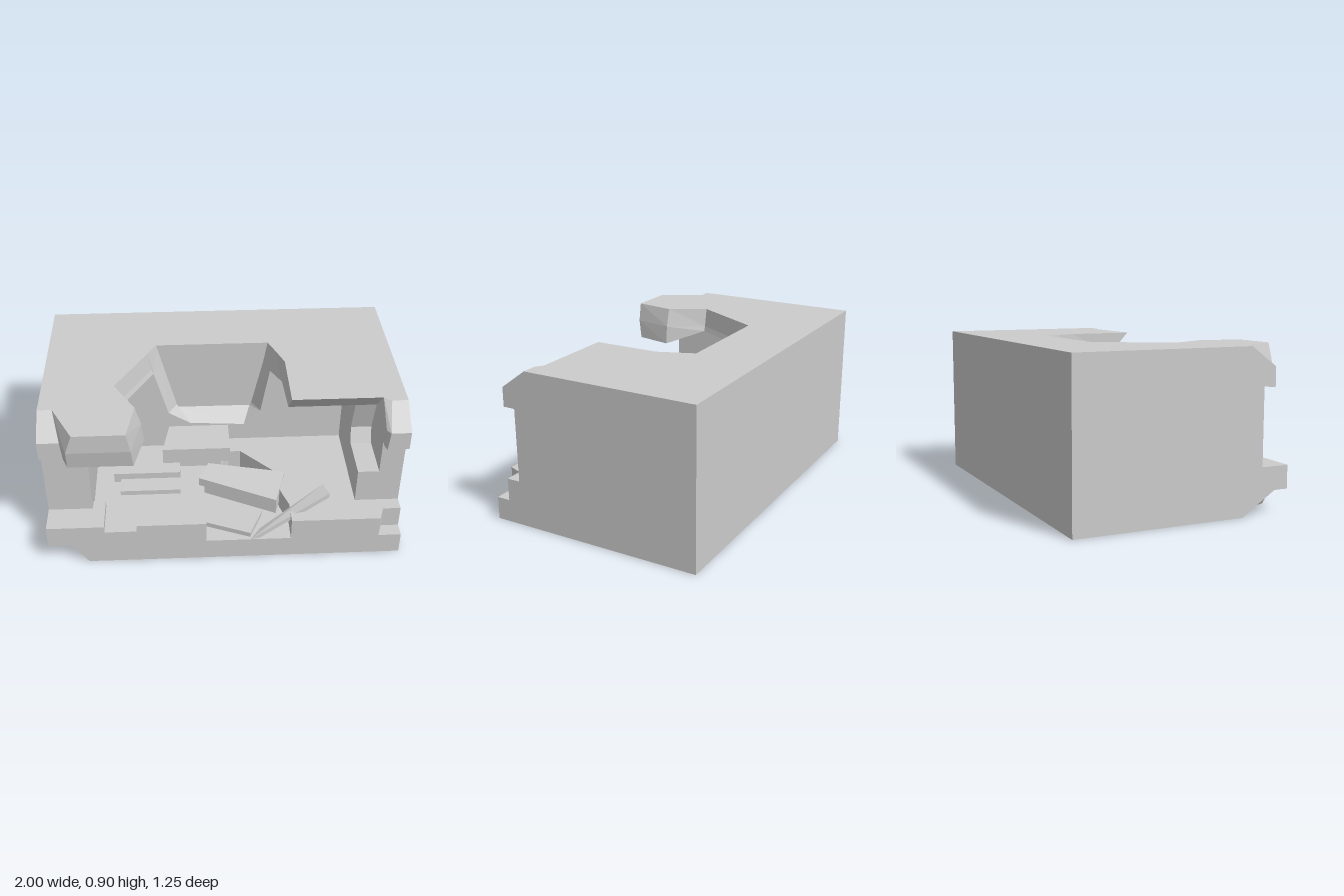
import * as THREE from 'three';

const material = new THREE.MeshStandardMaterial({ color: 0xcccccc, flatShading: true });

// Solid through matching rings of [x, y, z]; the first ring faces +y (or +z when alongZ)
function loft(name, rings, alongZ = false) {
  const flat = (r) => r.map((p) => new THREE.Vector2(p[0], alongZ ? p[1] : -p[2]));
  if (THREE.ShapeUtils.area(flat(rings[0])) < 0) rings = rings.map((r) => [...r].reverse());
  const pos = [];
  const tri = (a, b, c) => pos.push(...a, ...b, ...c);
  const first = rings[0], last = rings[rings.length - 1], n = first.length;
  for (const [a, b, c] of THREE.ShapeUtils.triangulateShape(flat(first), [])) tri(first[a], first[b], first[c]);
  for (const [a, b, c] of THREE.ShapeUtils.triangulateShape(flat(last), [])) tri(last[a], last[c], last[b]);
  for (let k = 0; k < rings.length - 1; k++) {
    const t = rings[k], u = rings[k + 1];
    for (let i = 0; i < n; i++) {
      const j = (i + 1) % n;
      tri(t[i], u[i], u[j]);
      tri(t[i], u[j], t[j]);
    }
  }
  const g = new THREE.BufferGeometry();
  g.setAttribute('position', new THREE.Float32BufferAttribute(pos, 3));
  g.computeVertexNormals();
  const m = new THREE.Mesh(g, material);
  m.name = name;
  return m;
}

const level = (y, pts) => pts.map(([x, z]) => [x, y, z]);
const upright = (z, pts) => pts.map(([x, y]) => [x, y, z]);
const slab = (name, pts, y0, y1) => loft(name, [level(y1, pts), level(y0, pts)]);

function box(name, x0, x1, y0, y1, z0, z1) {
  const m = new THREE.Mesh(new THREE.BoxGeometry(x1 - x0, y1 - y0, z1 - z0), material);
  m.position.set((x0 + x1) / 2, (y0 + y1) / 2, (z0 + z1) / 2);
  m.name = name;
  return m;
}

// Wall between x0 and x1 from a [z, y] side profile
function wall(name, x0, x1, profile) {
  const shape = new THREE.Shape(profile.map(([z, y]) => new THREE.Vector2(-z, y)));
  const g = new THREE.ExtrudeGeometry(shape, { depth: x1 - x0, bevelEnabled: false });
  g.rotateY(Math.PI / 2).translate(x0, 0, 0);
  const m = new THREE.Mesh(g, material);
  m.name = name;
  return m;
}

export function createModel() {
  const model = new THREE.Group();
  model.name = 'brokenBlock';
  const add = (...parts) => model.add(...parts);

  // Base with an undercut front corner
  add(loft('base', [
    level(0.13, [[-1, -0.63], [-1, 0.54], [-0.92, 0.54], [-0.87, 0.62], [1, 0.62], [1, -0.63]]),
    level(0, [[-1, -0.63], [-1, 0.34], [-0.91, 0.34], [-0.78, 0.62], [1, 0.62], [1, -0.63]]),
  ]));

  // Back wall with a sloped V notch in its front layer
  add(box('backWall', -1, 1, 0, 0.9, -0.63, -0.24));
  const around = (notch) => [[-1, 0], [1, 0], [1, 0.9], ...notch, [-1, 0.9]];
  add(loft('notchedWall', [
    upright(-0.15, around([[0.325, 0.9], [0.3, 0.76], [0.25, 0.47], [0.15, 0.37],
      [-0.18, 0.39], [-0.31, 0.47], [-0.39, 0.76], [-0.42, 0.9]])),
    upright(-0.24, around([[0.29, 0.9], [0.265, 0.76], [0.2, 0.47], [0.19, 0.45],
      [-0.25, 0.45], [-0.26, 0.47], [-0.335, 0.76], [-0.37, 0.9]])),
  ], true));

  // Side walls, the right one hollowed under the roof edge
  add(box('leftWall', -1, -0.75, 0.13, 0.78, -0.15, 0.46));
  add(box('rightWall', 0.87, 1, 0.13, 0.78, -0.15, 0.46));
  add(wall('rightInnerWall', 0.75, 0.87, [[-0.15, 0.13], [0.46, 0.13], [0.46, 0.47],
    [0.2, 0.47], [0.16, 0.56], [0.22, 0.76], [-0.15, 0.76]]));

  // Left roof with chamfered corner and ragged inner edge
  add(loft('leftRoof', [
    level(0.9, [[-1, -0.15], [-1, 0.38], [-0.92, 0.38], [-0.8, 0.62], [-0.52, 0.62],
      [-0.48, 0.38], [-0.6, 0.17], [-0.42, -0.15]]),
    level(0.79, [[-1, -0.15], [-1, 0.53], [-0.88, 0.53], [-0.84, 0.62], [-0.5, 0.62],
      [-0.45, 0.38], [-0.58, 0.17], [-0.4, -0.15]]),
    [[-1, 0.76, -0.15], [-1, 0.68, 0.53], [-0.87, 0.68, 0.53], [-0.84, 0.68, 0.6], [-0.49, 0.68, 0.6],
      [-0.44, 0.68, 0.38], [-0.57, 0.76, 0.17], [-0.39, 0.76, -0.15]],
  ]));

  // Right roof and its corner bracket
  add(loft('rightRoof', [
    level(0.9, [[1, -0.15], [1, 0.35], [0.37, 0.35], [0.37, -0.03], [0.325, -0.15]]),
    level(0.76, [[1, -0.15], [1, 0.22], [0.37, 0.22], [0.36, -0.03], [0.3, -0.15]]),
  ]));
  const bracket = (y, z, x) => level(y, [[1, 0.1], [1, z], [x, z], [0.87, z - 0.03], [0.87, 0.1]]);
  add(loft('rightCorner', [bracket(0.9, 0.38, 0.91), bracket(0.79, 0.53, 0.89), bracket(0.68, 0.53, 0.88)]));

  // Broken floor around a sunken pit
  add(box('leftLip', -1, -0.68, 0.13, 0.26, 0.4, 0.62));
  add(slab('leftFloor', [[-0.76, -0.16], [-0.76, 0.5], [-0.69, 0.62], [-0.11, 0.62], [-0.11, 0.2],
    [0.05, -0.02], [0.05, -0.16]], 0.12, 0.22));
  add(slab('rightFloor', [[0.04, -0.16], [0.04, -0.02], [0.12, -0.02], [0.3, 0.17], [0.33, 0.36],
    [0.37, 0.48], [0.37, 0.62], [0.87, 0.62], [0.9, 0.54], [1, 0.54], [1, -0.16]], 0.12, 0.26));
  add(box('frontStep', -0.5, -0.11, 0.2, 0.26, 0.48, 0.62));

  // Loose rubble on the floor
  add(box('lowerShelf', -0.6, -0.25, 0.2, 0.25, 0.07, 0.31));
  add(box('upperShelf', -0.64, -0.25, 0.23, 0.29, 0.07, 0.2));
  const chunk = [[-0.31, -0.12], [0.05, -0.12], [0.05, 0.11], [-0.35, 0.11]];
  add(slab('looseBlock', chunk, 0.29, 0.39));
  add(slab('blockRest', [[-0.28, -0.15], [0, -0.15], [0, 0.06], [-0.28, 0.06]], 0.2, 0.3));
  const plate = [[-0.08, 0.12], [-0.14, 0.24], [0.3, 0.43], [0.37, 0.21]];
  add(loft('fallenSlab', [
    plate.map(([x, z]) => [x, 0.29 - 0.12 * (z - 0.1), z]),
    plate.map(([x, z]) => [x, 0.19 - 0.12 * (z - 0.1), z]),
  ]));
  add(slab('pitWedge', [[-0.11, 0.36], [-0.11, 0.5], [0.14, 0.6], [0.22, 0.42]], 0.12, 0.16));

  // Thin plank leaning out of the pit
  const plank = (d) => [[0.14, 0.1 + d, 0.62], [0.59, 0.33 + d, 0.51], [0.56, 0.34 + d, 0.44], [0.2, 0.13 + d, 0.56]];
  add(loft('plank', [plank(0.03), plank(0)]));
  return model;
}
